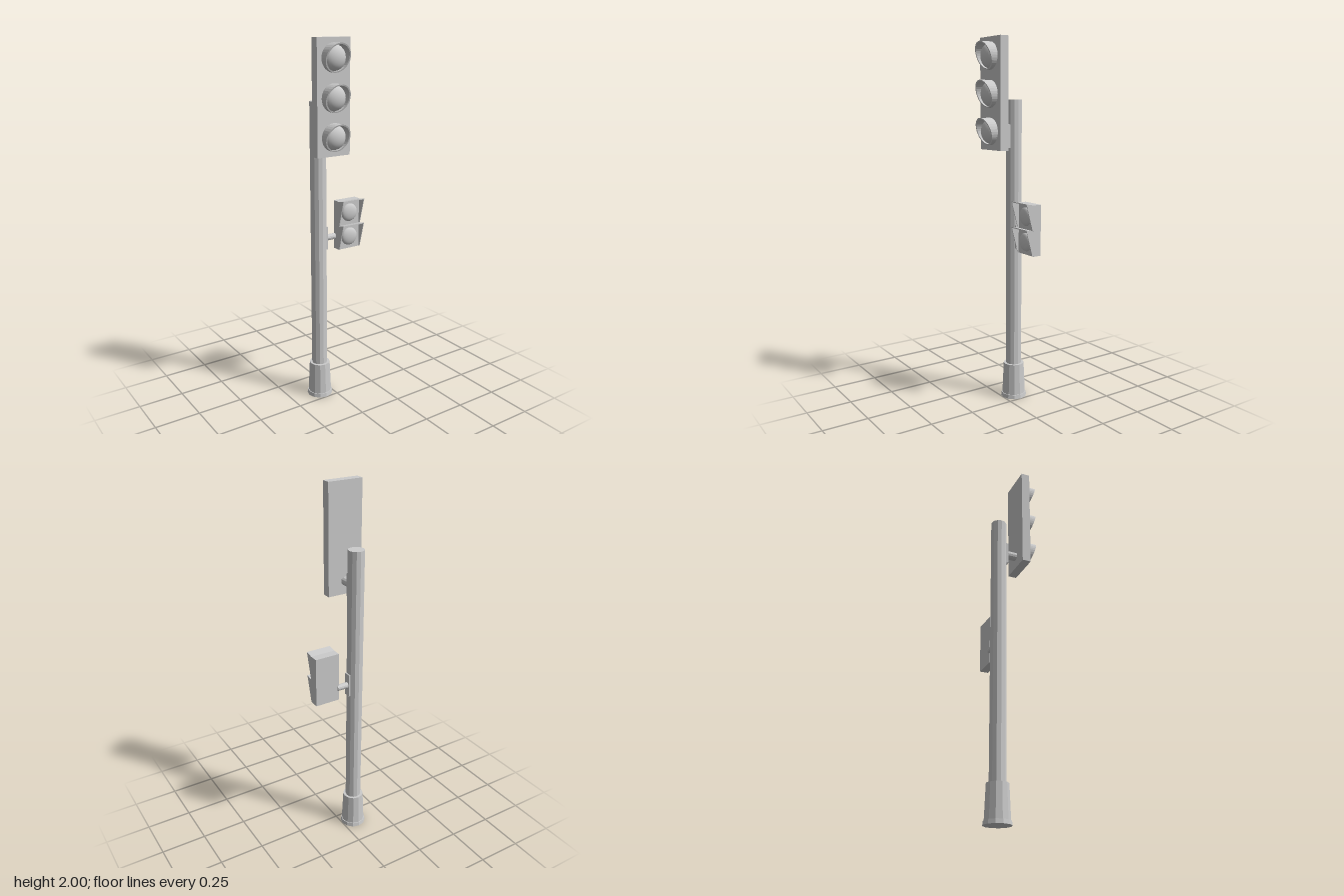
import * as THREE from 'three';

const flat = new THREE.MeshStandardMaterial({ color: 0xcccccc, flatShading: true, side: THREE.DoubleSide });
const smooth = new THREE.MeshStandardMaterial({ color: 0xcccccc });
const POLE = -0.072; // pole axis in x and z

function add(parent, name, geometry, x, y, z, material = flat) {
  const mesh = new THREE.Mesh(geometry, material);
  mesh.name = name;
  mesh.position.set(x, y, z);
  parent.add(mesh);
  return mesh;
}

// Half sphere bulging towards +z
function domeGeometry(radius, depth) {
  return new THREE.SphereGeometry(radius, 20, 8, 0, Math.PI * 2, 0, Math.PI / 2)
    .rotateX(Math.PI / 2).scale(1, 1, depth / radius);
}

// Ring whose front edge is cut on a slant, longest at the top
function roundVisorGeometry(radius, wall, longest, shortest) {
  const ring = new THREE.Shape().absarc(0, 0, radius, 0, Math.PI * 2);
  ring.holes.push(new THREE.Path().absarc(0, 0, radius - wall, 0, Math.PI * 2, true));
  const g = new THREE.ExtrudeGeometry(ring, { depth: 1, bevelEnabled: false, curveSegments: 16 });
  const p = g.attributes.position;
  for (let i = 0; i < p.count; i++) {
    const t = (p.getY(i) / radius + 1) / 2;
    p.setZ(i, p.getZ(i) * THREE.MathUtils.lerp(shortest, longest, t));
  }
  g.computeVertexNormals();
  return g;
}

// Sheet outlined in the side view as [z, y] points, given a width along x
function sidePlateGeometry(points, width) {
  const shape = new THREE.Shape(points.map(([z, y]) => new THREE.Vector2(-z, y)));
  return new THREE.ExtrudeGeometry(shape, { depth: width, bevelEnabled: false })
    .rotateY(Math.PI / 2).translate(-width / 2, 0, 0);
}

function buildPole() {
  const group = new THREE.Group();
  group.name = 'pole';
  group.position.set(POLE, 0, POLE);
  add(group, 'baseFlange', new THREE.CylinderGeometry(0.069, 0.072, 0.022, 12), 0, 0.011, 0);
  add(group, 'baseCollar', new THREE.CylinderGeometry(0.057, 0.065, 0.178, 12), 0, 0.109, 0);
  add(group, 'shaft', new THREE.CylinderGeometry(0.043, 0.043, 1.5, 12), 0, 0.93, 0);
  return group;
}

function buildVehicleSignal() {
  const group = new THREE.Group();
  group.name = 'vehicleSignal';
  group.position.x = POLE;
  add(group, 'housing', new THREE.BoxGeometry(0.196, 0.585, 0.048), 0, 1.7075, 0.054);
  for (const y of [1.903, 1.708, 1.513]) {
    add(group, 'visor', roundVisorGeometry(0.072, 0.007, 0.065, 0.017), 0, y, 0.078);
    add(group, 'lens', domeGeometry(0.065, 0.044), 0, y, 0.078, smooth);
  }
  // Bracket to the pole
  add(group, 'bracketPlate', new THREE.BoxGeometry(0.046, 0.125, 0.014), 0, 1.487, -0.029);
  add(group, 'bracketArm', new THREE.CylinderGeometry(0.023, 0.023, 0.065, 12).rotateX(Math.PI / 2), 0, 1.487, 0);
  return group;
}

function buildPedestrianSignal() {
  const group = new THREE.Group();
  group.name = 'pedestrianSignal';
  const cx = 0.101, width = 0.139, back = -0.031, front = 0.014;
  add(group, 'housing', new THREE.BoxGeometry(width, 0.273, 0.047), cx, 1.0015, -0.0545);
  for (const top of [1.138, 1.001]) {
    // Hood roof rising slightly to the front, with tapered cheeks
    const roof = [[back, top - 0.005], [front, top + 0.004], [front, top + 0.009], [back, top]];
    add(group, 'hoodRoof', sidePlateGeometry(roof, width), cx, 0, 0);
    const cheek = [[back, top - 0.134], [back + 0.006, top - 0.134], [front, top + 0.009], [back, top]];
    for (const side of [-1, 1])
      add(group, 'hoodCheek', sidePlateGeometry(cheek, 0.004), cx + side * (width / 2 - 0.002), 0, 0);
    add(group, 'lens', domeGeometry(0.05, 0.02), cx, top - 0.068, back, smooth);
  }
  // Bracket to the pole
  add(group, 'bracketPlate', new THREE.BoxGeometry(0.013, 0.128, 0.038), -0.03, 0.937, POLE);
  add(group, 'bracketArm', new THREE.CylinderGeometry(0.017, 0.017, 0.07, 12).rotateZ(Math.PI / 2), 0.006, 0.935, POLE);
  return group;
}

export function createModel() {
  const model = new THREE.Group();
  model.name = 'trafficLight';
  model.add(buildPole(), buildVehicleSignal(), buildPedestrianSignal());
  return model;
}
